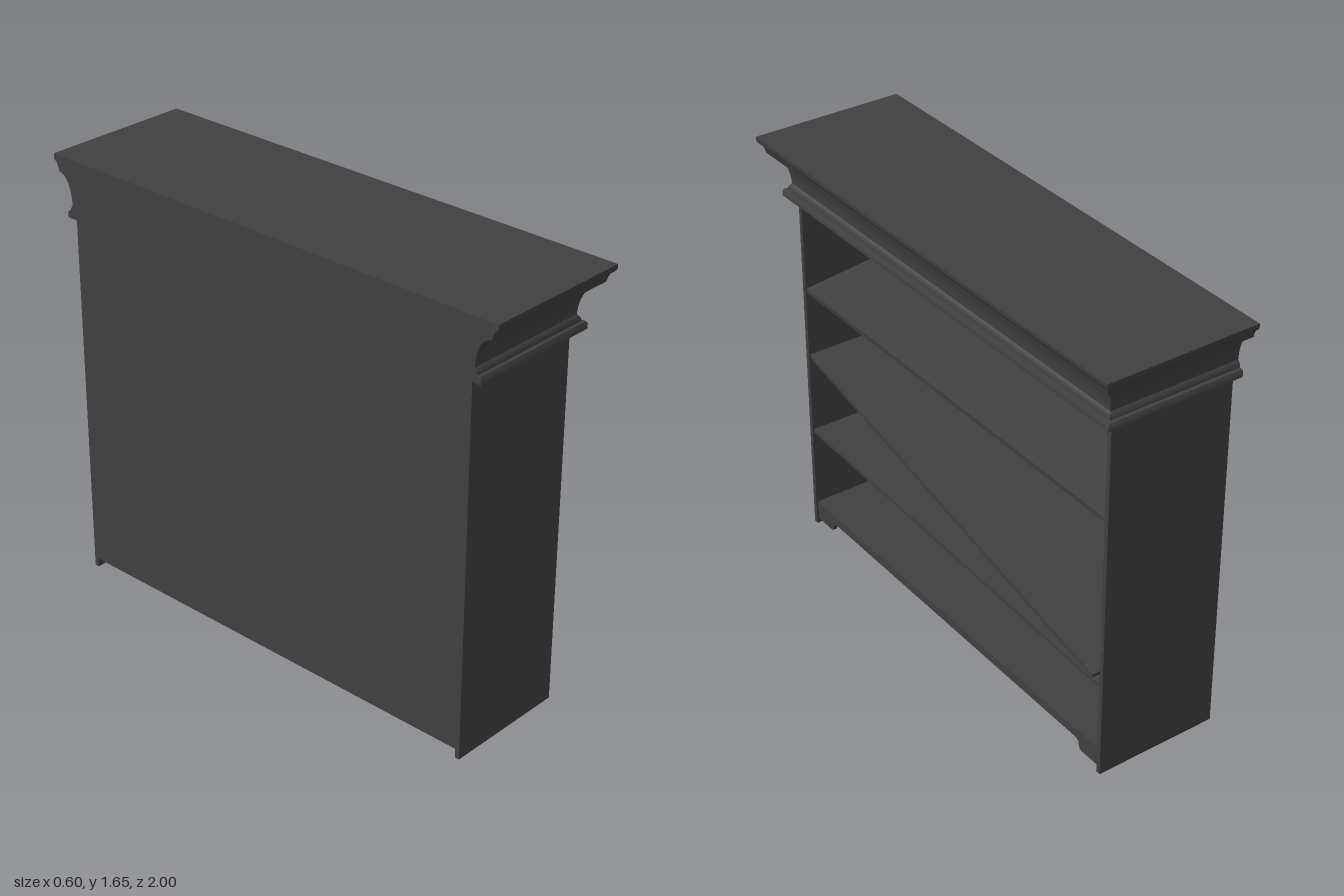
import * as THREE from 'three';
import { toCreasedNormals } from 'three/addons/utils/BufferGeometryUtils.js';

const BACK = -0.293, FRONT = 0.195, HALF = 0.902, SIDE = 0.018, CROWN_Y = 1.43;
const INNER = HALF - SIDE;

export function createModel() {
  const model = new THREE.Group();
  model.name = 'bookcase';
  const material = new THREE.MeshStandardMaterial({ color: 0x404040 });

  function add(name, geometry) {
    const mesh = new THREE.Mesh(geometry, material);
    mesh.name = name;
    model.add(mesh);
    return mesh;
  }
  // box given by its limits on each axis
  function box(name, [x0, x1], [y0, y1], [z0, z1]) {
    const mesh = add(name, new THREE.BoxGeometry(x1 - x0, y1 - y0, z1 - z0));
    mesh.position.set((x0 + x1) / 2, (y0 + y1) / 2, (z0 + z1) / 2);
    return mesh;
  }

  // carcass
  box('leftSide', [BACK, FRONT], [0, CROWN_Y + 0.01], [INNER, HALF]);
  box('rightSide', [BACK, FRONT], [0, CROWN_Y + 0.01], [-HALF, -INNER]);
  box('backPanel', [BACK, BACK + 0.013], [0.035, CROWN_Y + 0.01], [-INNER, INNER]);
  box('bottomShelf', [BACK + 0.01, FRONT - 0.005], [0.083, 0.1], [-INNER, INNER]);

  // display shelf dropping towards the front
  const x0 = BACK + 0.01, x1 = FRONT - 0.005, drop = 0.055;
  const display = add('tiltedShelf', new THREE.BoxGeometry(Math.hypot(x1 - x0, drop), 0.02, 2 * INNER));
  display.position.set((x0 + x1) / 2, 1.073, 0);
  display.rotation.z = -Math.atan2(drop, x1 - x0);

  // shelves sloping from the left side down to the right
  function slopingShelf(name, zL, yL, zR, yR) {
    const mesh = add(name, new THREE.BoxGeometry(x1 - x0, 0.016, Math.hypot(zL - zR, yL - yR)));
    mesh.position.set((x0 + x1) / 2, (yL + yR) / 2, (zL + zR) / 2);
    mesh.rotation.x = -Math.atan2(yL - yR, zL - zR);
  }
  slopingShelf('steepShelf', INNER + 0.003, 0.765, -0.84, 0.385);
  slopingShelf('lowShelf', INNER + 0.003, 0.43, -INNER, 0.368);

  // apron with a shaped foot at each end
  const outline = new THREE.Shape();
  outline.moveTo(-INNER, 0.085);
  outline.lineTo(-INNER, 0.02);
  outline.lineTo(-0.79, 0.02);
  outline.quadraticCurveTo(-0.775, 0.022, -0.775, 0.04);
  outline.quadraticCurveTo(-0.772, 0.06, -0.75, 0.06);
  outline.lineTo(0.75, 0.06);
  outline.quadraticCurveTo(0.772, 0.06, 0.775, 0.04);
  outline.quadraticCurveTo(0.775, 0.022, 0.79, 0.02);
  outline.lineTo(INNER, 0.02);
  outline.lineTo(INNER, 0.085);
  const apron = add('apron', new THREE.ExtrudeGeometry(outline, { depth: 0.015, bevelEnabled: false, curveSegments: 5 }));
  apron.rotation.y = Math.PI / 2;
  apron.position.x = FRONT - 0.023;

  // crown: profile of [overhang, height], mitred round the front and both sides
  const cove = new THREE.CubicBezierCurve(
    new THREE.Vector2(0.014, 1.482), new THREE.Vector2(0.016, 1.535),
    new THREE.Vector2(0.032, 1.59), new THREE.Vector2(0.076, 1.595));
  const profile = [
    [0.04, CROWN_Y], [0.04, 1.45], [0.036, 1.456], [0.025, 1.458], [0.024, 1.468], [0.018, 1.478],
    ...cove.getPoints(12).map(p => [p.x, p.y]),
    [0.08, 1.612], [0.086, 1.625], [0.096, 1.632], [0.1, 1.64], [0.1, 1.655],
  ];
  const rings = profile.map(([d, y]) => [
    [-0.298, y, 0.9 + d], [0.197 + d, y, 0.9 + d], [0.197 + d, y, -0.9 - d], [-0.298, y, -0.9 - d],
  ]);
  const positions = [];
  const quad = (a, b, c, d) => positions.push(...a, ...b, ...c, ...a, ...c, ...d);
  for (let i = 0; i < rings.length - 1; i++) {
    for (let k = 0; k < 4; k++) {
      const n = (k + 1) % 4;
      quad(rings[i][k], rings[i][n], rings[i + 1][n], rings[i + 1][k]);
    }
  }
  quad(...rings[rings.length - 1]);
  quad(...[...rings[0]].reverse());
  const crown = new THREE.BufferGeometry();
  crown.setAttribute('position', new THREE.Float32BufferAttribute(positions, 3));
  add('crownMoulding', toCreasedNormals(crown, 0.6));

  return model;
}
